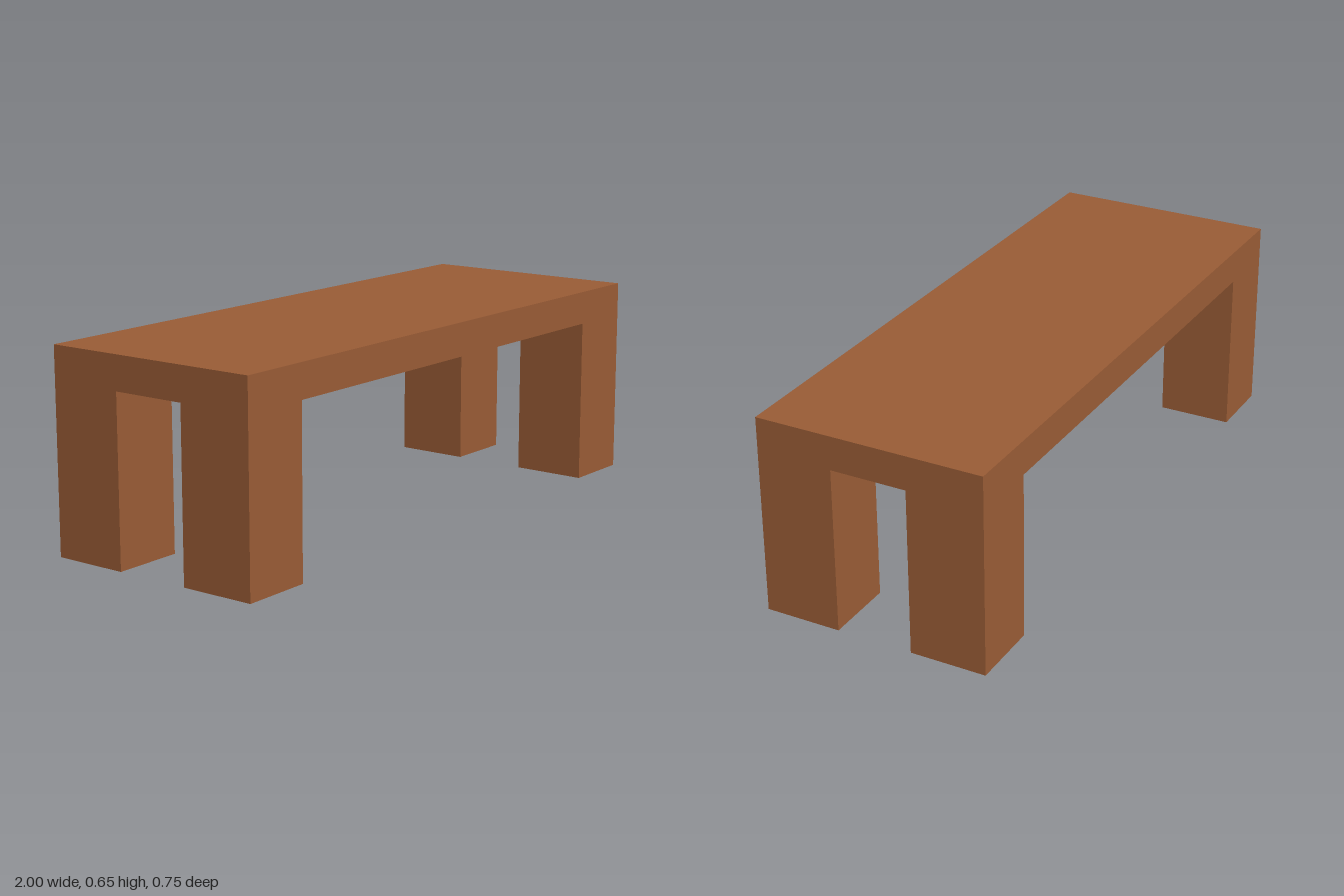
import * as THREE from 'three';

const LENGTH = 2, DEPTH = 0.75, HEIGHT = 0.655;
const LEG_HEIGHT = 0.545, LEG_WIDTH = 0.235, LEG_DEPTH = 0.25;

export function createModel() {
  const group = new THREE.Group();
  group.name = 'table';
  const wood = new THREE.MeshStandardMaterial({ color: 0x985b35 });

  const addBox = (name, [w, h, d], [x, y, z]) => {
    const mesh = new THREE.Mesh(new THREE.BoxGeometry(w, h, d), wood);
    mesh.name = name;
    mesh.position.set(x, y, z);
    group.add(mesh);
  };

  // Thick slab top
  addBox('tableTop', [LENGTH, HEIGHT - LEG_HEIGHT, DEPTH], [0, (HEIGHT + LEG_HEIGHT) / 2, 0]);

  // Four block legs, flush with the corners of the top
  for (const sx of [-1, 1]) {
    for (const sz of [-1, 1]) {
      const name = (sz > 0 ? 'front' : 'back') + (sx > 0 ? 'Left' : 'Right') + 'Leg';
      addBox(name, [LEG_WIDTH, LEG_HEIGHT, LEG_DEPTH],
        [sx * (LENGTH - LEG_WIDTH) / 2, LEG_HEIGHT / 2, sz * (DEPTH - LEG_DEPTH) / 2]);
    }
  }
  return group;
}
